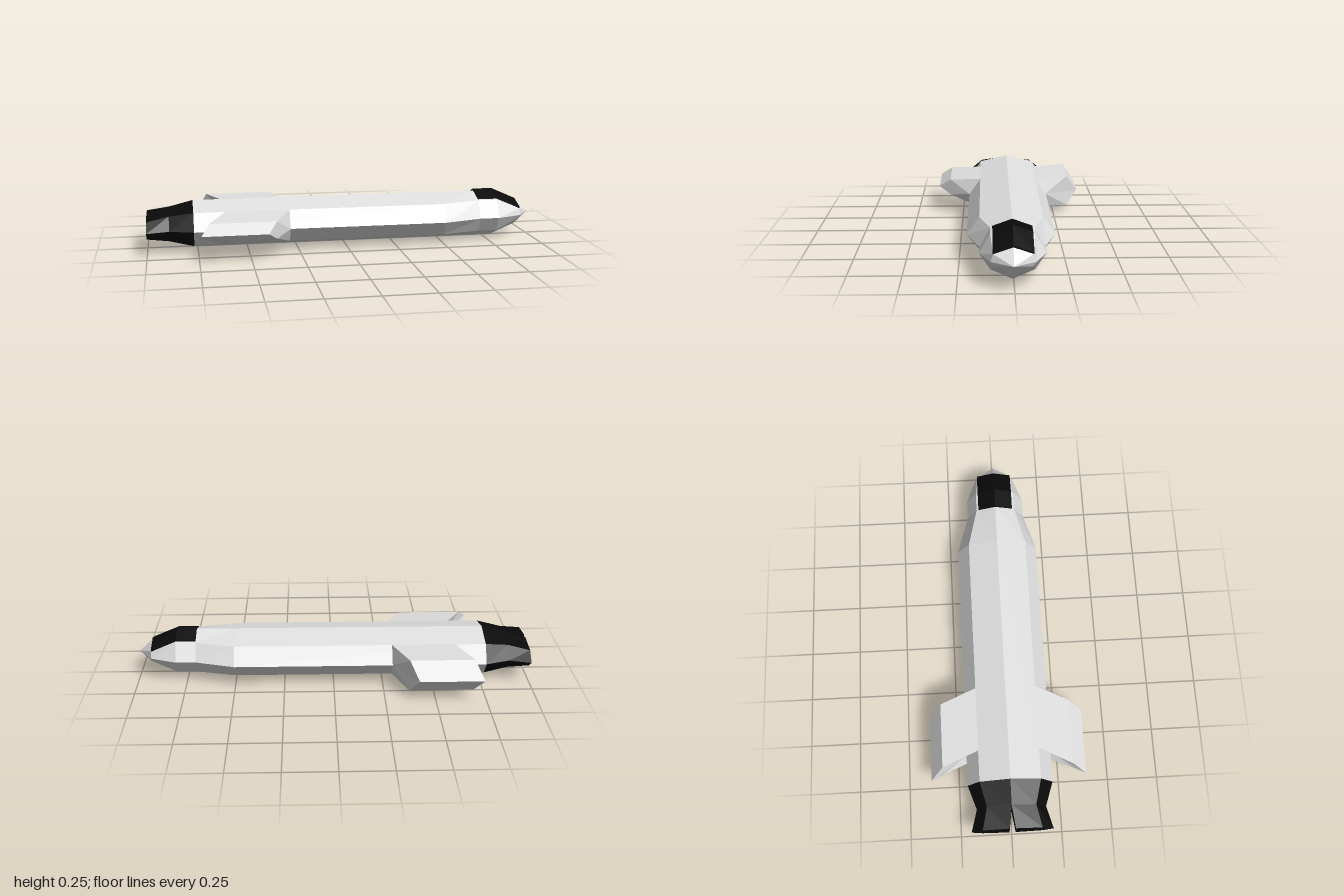
import * as THREE from 'three';

const white = new THREE.MeshStandardMaterial({ color: 0xe0e0e0, flatShading: true });
white.name = 'hull white';
const black = new THREE.MeshStandardMaterial({ color: 0x0a0a0a, flatShading: true });
black.name = 'engine black';

// Faceted skin over rings of [x, y, z] points, ordered from tail to nose
function loft(name, rings, material, capTail = true, capNose = true) {
  const pos = [];
  const tri = (a, b, c) => pos.push(...a, ...b, ...c);
  const n = rings[0].length;
  for (let k = 0; k < rings.length - 1; k++) {
    const a = rings[k], b = rings[k + 1];
    for (let i = 0; i < n; i++) {
      const j = (i + 1) % n;
      tri(a[i], a[j], b[i]);
      tri(a[j], b[j], b[i]);
    }
  }
  const first = rings[0], last = rings[rings.length - 1];
  for (let i = 1; i < n - 1; i++) {
    if (capTail) tri(first[0], first[i + 1], first[i]);
    if (capNose) tri(last[0], last[i], last[i + 1]);
  }
  const geometry = new THREE.BufferGeometry();
  geometry.setAttribute('position', new THREE.Float32BufferAttribute(pos, 3));
  geometry.computeVertexNormals();
  const mesh = new THREE.Mesh(geometry, material);
  mesh.name = name;
  return mesh;
}

// Eight-sided hull section
function section(x, top, upZ, upY, side, lowZ, lowY, bottom, midY = 0.12) {
  return [
    [x, top, 0], [x, upY, upZ], [x, midY, side], [x, lowY, lowZ],
    [x, bottom, 0], [x, lowY, -lowZ], [x, midY, -side], [x, upY, -upZ],
  ];
}

// Mirrors a ring across z while keeping its winding and first point
function mirrorZ(ring) {
  const m = ring.map(([x, y, z]) => [x, y, -z]);
  return [m[0], ...m.slice(1).reverse()];
}

// Wing ring: root middle, root top, outer top, tip, outer bottom, root bottom
function wingRing(xRoot, xOuter, xTip, s) {
  return [
    [xRoot, 0.12, 0.208], [xRoot, 0.205, 0.15], [xOuter, s.top, s.outer],
    [xTip, s.tipY, s.tip], [xOuter, s.bottom, s.outer], [xRoot, 0.045, 0.15],
  ];
}

export function createModel() {
  const model = new THREE.Group();
  model.name = 'spacecraft';
  const craft = new THREE.Group();
  craft.name = 'craft';
  craft.position.z = 0.004;
  model.add(craft);

  // Hull with tapering nose
  const tail = section(-0.77, 0.24, 0.15, 0.205, 0.21, 0.15, 0.045, 0);
  craft.add(loft('hull', [
    tail,
    section(0.5, 0.24, 0.15, 0.205, 0.21, 0.15, 0.045, 0),
    section(0.7, 0.24, 0.1, 0.207, 0.15, 0.1, 0.045, 0),
    section(0.8, 0.24, 0.1, 0.207, 0.15, 0.1, 0.045, 0),
    section(0.93, 0.185, 0.088, 0.155, 0.1, 0.085, 0.1, 0.055),
    section(1, 0.12, 0, 0.12, 0, 0, 0.12, 0.12),
  ], white, true, false));

  // Cockpit window wrapped over the nose
  const pane = (x, top, edge, depth) => [
    [x, top, 0], [x, edge, 0.09], [x, edge - depth, 0.09],
    [x, top - depth, 0], [x, edge - depth, -0.09], [x, edge, -0.09],
  ];
  craft.add(loft('cockpitWindow', [
    pane(0.7, 0.25, 0.217, 0.02),
    pane(0.8, 0.25, 0.217, 0.02),
    pane(0.93, 0.192, 0.162, 0.008),
  ], black));

  // Engine block behind the hull
  const neck = section(-0.89, 0.21, 0.12, 0.185, 0.17, 0.12, 0.06, 0.03);
  craft.add(loft('engineBlock', [neck, tail], black));

  // Twin flared nozzles
  const nozzleEnd = [
    [-1, 0.18, 0.015], [-1, 0.165, 0.145], [-1, 0.12, 0.2],
    [-1, 0.08, 0.145], [-1, 0.065, 0.015],
  ];
  const nozzle = [nozzleEnd, neck.slice(0, 5)];
  craft.add(loft('leftNozzle', nozzle, black));
  craft.add(loft('rightNozzle', nozzle.map(mirrorZ), black));

  // Wings: each swept back, with slightly different tips
  const left = { top: 0.185, bottom: 0.1, outer: 0.316, tip: 0.378, tipY: 0.138 };
  const right = { top: 0.203, bottom: 0.04, outer: 0.328, tip: 0.388, tipY: 0.115 };
  craft.add(loft('leftWing', [
    wingRing(-0.615, -0.7, -0.74, left),
    wingRing(-0.295, -0.375, -0.42, left),
  ], white));
  craft.add(loft('rightWing', [
    wingRing(-0.615, -0.69, -0.735, right),
    wingRing(-0.295, -0.37, -0.415, right),
  ].map(mirrorZ), white));

  return model;
}
